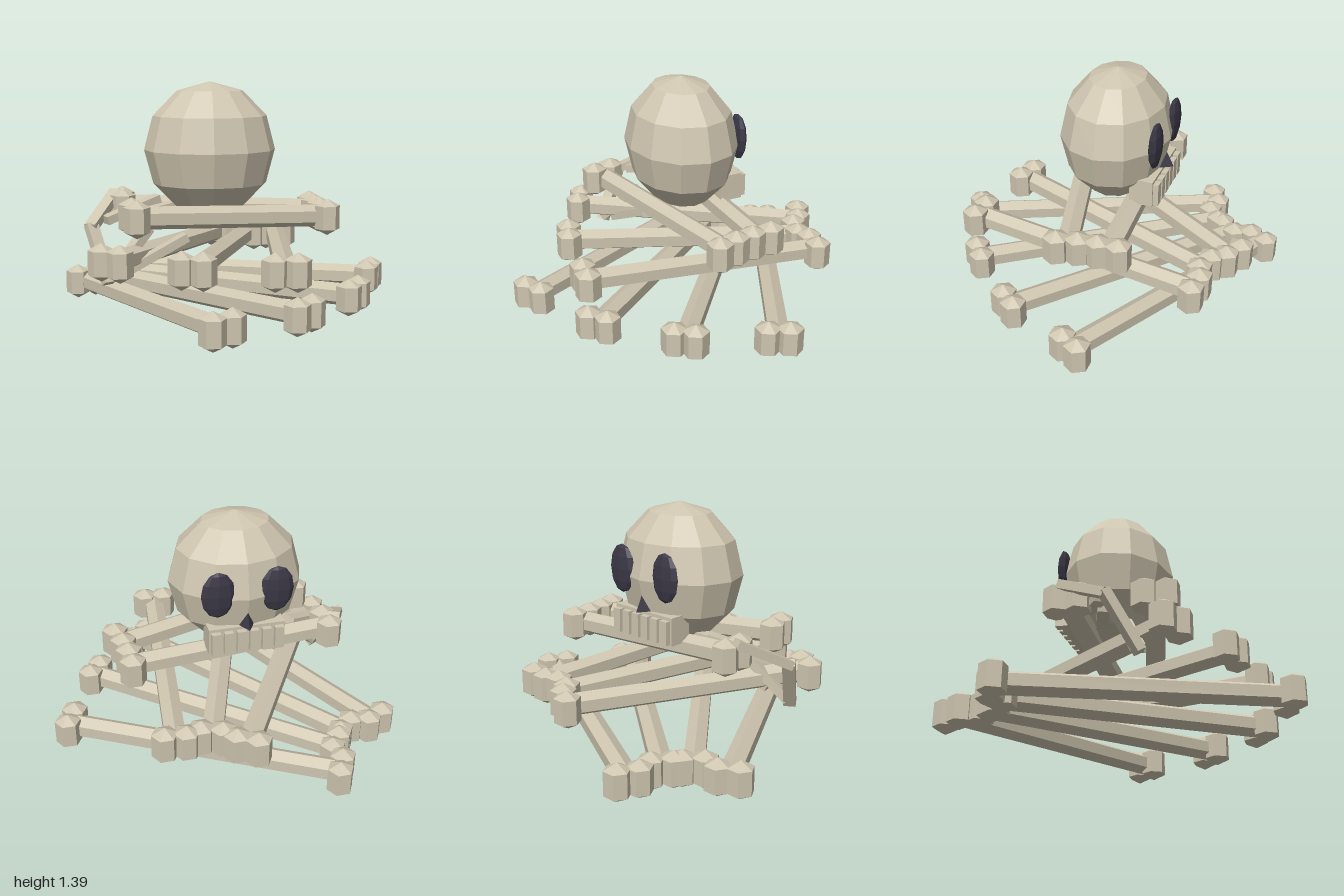
import * as THREE from 'three';

const bone = new THREE.MeshStandardMaterial({ color: 0xcfc6b0 });
bone.name = 'bone';
const dark = new THREE.MeshStandardMaterial({ color: 0x3b3846 });
dark.name = 'darkSocket';

// Faceted normals for the low-poly look
function facet(geo) {
  const g = geo.index ? geo.toNonIndexed() : geo;
  g.computeVertexNormals();
  return g;
}

function add(parent, name, geo, mat, x = 0, y = 0, z = 0) {
  const m = new THREE.Mesh(geo, mat);
  m.name = name;
  m.position.set(x, y, z);
  parent.add(m);
  return m;
}

// Hexagonal knob with pointed ends, corners toward +x and -x
const knobGeo = facet(new THREE.LatheGeometry(
  [[0, -0.11], [0.075, -0.07], [0.075, 0.07], [0, 0.11]].map(([x, y]) => new THREE.Vector2(x, y)),
  6, Math.PI / 2));

// Long bone: six-sided shaft with a pair of knobs at each end
function longBone(name, a, b) {
  const g = new THREE.Group();
  g.name = name;
  const A = new THREE.Vector3(...a), B = new THREE.Vector3(...b);
  const geo = facet(new THREE.CylinderGeometry(0.066, 0.066, A.distanceTo(B), 6).rotateX(Math.PI / 2));
  const shaft = add(g, 'shaft', geo, bone);
  shaft.position.copy(A).lerp(B, 0.5);
  shaft.lookAt(B);
  const dir = B.clone().sub(A).setY(0).normalize();
  const side = new THREE.Vector3(-dir.z, 0, dir.x).multiplyScalar(0.06);
  for (const end of [A, B]) for (const s of [-1, 1]) {
    add(g, 'knob', knobGeo, bone).position.copy(end).addScaledVector(side, s);
  }
  return g;
}

// Thin rectangular bone between two points
function strip(parent, name, a, b) {
  const A = new THREE.Vector3(...a), B = new THREE.Vector3(...b);
  const m = add(parent, name, new THREE.BoxGeometry(0.07, 0.05, A.distanceTo(B) + 0.03), bone);
  m.position.copy(A).lerp(B, 0.5);
  m.lookAt(B);
}

function skull() {
  const g = new THREE.Group();
  g.name = 'skull';
  g.position.set(-0.11, 1, -0.07);
  add(g, 'cranium', facet(new THREE.SphereGeometry(1, 12, 6).scale(0.39, 0.4, 0.325)), bone);
  // Eye sockets
  const eye = facet(new THREE.SphereGeometry(1, 8, 6).scale(0.097, 0.14, 0.032));
  for (const s of [-1, 1]) add(g, 'eyeSocket', eye, dark, s * 0.167, 0.035, -0.29);
  // Triangular nose
  const nose = facet(new THREE.ConeGeometry(0.055, 0.11, 3).rotateY(Math.PI));
  add(g, 'nose', nose, dark, 0, -0.125, -0.295);
  // Upper jaw and teeth
  add(g, 'jaw', new THREE.BoxGeometry(0.44, 0.16, 0.14), bone, 0, -0.26, -0.225);
  for (let i = 0; i < 6; i++) {
    add(g, 'tooth', new THREE.BoxGeometry(0.052, 0.135, 0.04), bone, (i - 2.5) * 0.073, -0.265, -0.307);
  }
  return g;
}

export function createModel() {
  const model = new THREE.Group();
  model.name = 'bonePile';

  // Bottom, middle and top layers of crossed bones
  const layers = {
    bottomBone: [
      [[0.895, 0.18, -0.18], [-0.525, 0.115, -0.88]],
      [[-0.122, 0.18, 0.885], [-0.878, 0.115, -0.505]],
      [[0.69, 0.18, 0.29], [-0.565, 0.115, -0.675]],
      [[0.34, 0.18, 0.66], [-0.672, 0.115, -0.55]],
    ],
    middleBone: [
      [[0.235, 0.42, 0.685], [0.38, 0.36, -0.72]],
      [[-0.257, 0.42, 0.605], [0.178, 0.36, -0.72]],
      [[-0.695, 0.42, 0.375], [0.01, 0.36, -0.842]],
    ],
    topBone: [
      [[-0.562, 0.65, 0.262], [0.57, 0.595, -0.032]],
      [[-0.633, 0.65, -0.21], [0.538, 0.595, -0.26]],
    ],
  };
  for (const [name, list] of Object.entries(layers)) {
    for (const [a, b] of list) model.add(longBone(name, a, b));
  }

  // Three bent ribs hanging at the right side
  for (let i = 0; i < 3; i++) {
    const rib = new THREE.Group();
    rib.name = 'rib';
    rib.position.x = i * 0.17;
    strip(rib, 'upperRib', [-0.68, 0.72, -0.22], [-0.81, 0.57, 0.06]);
    strip(rib, 'lowerRib', [-0.81, 0.57, 0.06], [-0.715, 0.28, 0.21]);
    model.add(rib);
  }

  model.add(skull());
  return model;
}
